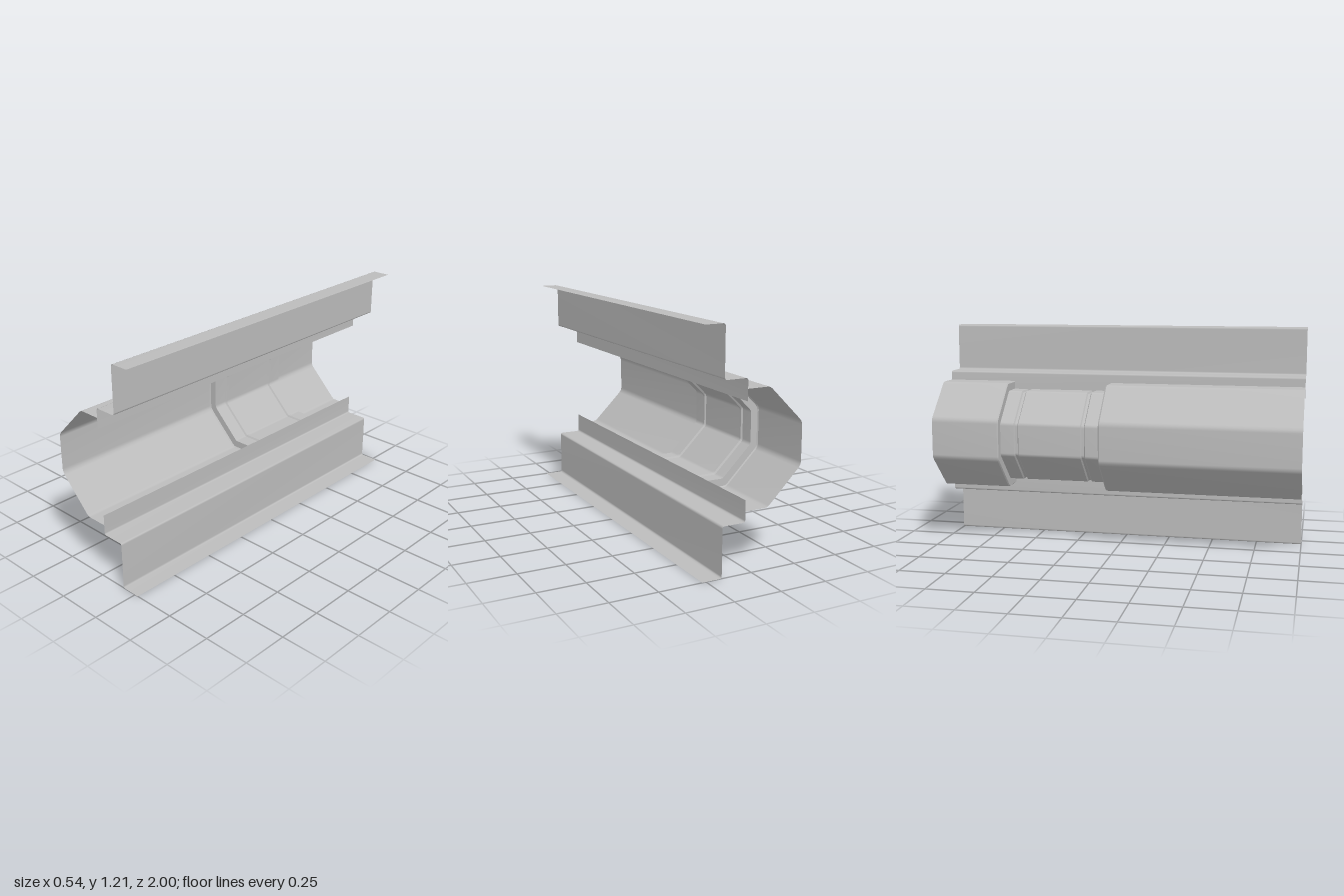
import * as THREE from 'three';

const MID = 0.607; // height of the mirror plane
const steel = new THREE.MeshStandardMaterial({ color: 0xbcbcbc, side: THREE.DoubleSide });
steel.name = 'steel grey';

// Sheet surface lofted through rows of [x, y, z] points
function sheet(name, rows) {
  const n = rows[0].length, index = [];
  for (let r = 0; r < rows.length - 1; r++) {
    for (let i = 0; i < n - 1; i++) {
      const a = r * n + i, b = a + 1, c = a + n, d = c + 1;
      index.push(a, c, b, b, c, d);
    }
  }
  const geo = new THREE.BufferGeometry();
  geo.setAttribute('position', new THREE.Float32BufferAttribute(rows.flat(2), 3));
  geo.setIndex(index);
  geo.computeVertexNormals();
  const mesh = new THREE.Mesh(geo, steel);
  mesh.name = name;
  return mesh;
}

// Half profiles of the channel, measured up from the mirror plane
const outer = [[0.04, 0.294], [-0.07, 0.294], [-0.081, 0.292], [-0.092, 0.285],
  [-0.256, 0.121], [-0.266, 0.107], [-0.27, 0.09]];
const inner = [[0.04, 0.241], [-0.055, 0.241], [-0.062, 0.239], [-0.068, 0.234],
  [-0.213, 0.09], [-0.218, 0.083], [-0.22, 0.073]];

// Channel cross-section at z; t runs from the outer (0) to the inner (1) profile
function channelRow(z, t) {
  const half = outer.map(([x, h], i) => [
    x + (inner[i][0] - x) * t, h + (inner[i][1] - h) * t]);
  const low = half.slice().reverse().map(([x, h]) => [x, -h]);
  return [...half, ...low].map(([x, h]) => [x, MID + h, z]);
}

export function createModel() {
  const model = new THREE.Group();
  model.name = 'steelProfile';

  // Channel with a recessed stretch and two narrow grooves
  const channel = new THREE.Group();
  channel.name = 'channel';
  const recess = 0.84;
  const stations = [
    [1, 0], [-0.06, 0], [-0.068, 0.12], [-0.068, recess],
    [-0.148, recess], [-0.154, 1], [-0.168, 1], [-0.174, recess],
    [-0.52, recess], [-0.526, 1], [-0.54, 1], [-0.546, recess],
    [-0.622, recess], [-0.622, 0.1], [-0.628, 0], [-1, 0],
  ];
  for (let i = 0; i < stations.length - 1; i++) {
    channel.add(sheet('channelSection' + (i + 1),
      [channelRow(...stations[i]), channelRow(...stations[i + 1])]));
  }
  model.add(channel);

  // Stepped rails above and below, mirrored
  const rail = [[0.04, 0.236], [0.04, 0.336], [0.043, 0.343], [0.05, 0.346],
    [0.154, 0.346], [0.162, 0.349], [0.165, 0.357],
    [0.165, 0.593], [0.168, 0.601], [0.176, 0.604], [0.27, 0.604]];
  for (const [name, s] of [['upperRail', 1], ['lowerRail', -1]]) {
    model.add(sheet(name, [1, -1].map(z => rail.map(([x, h]) => [x, 0.604 + s * h + (s > 0 ? 0.002 : 0), z]))));
  }
  return model;
}
